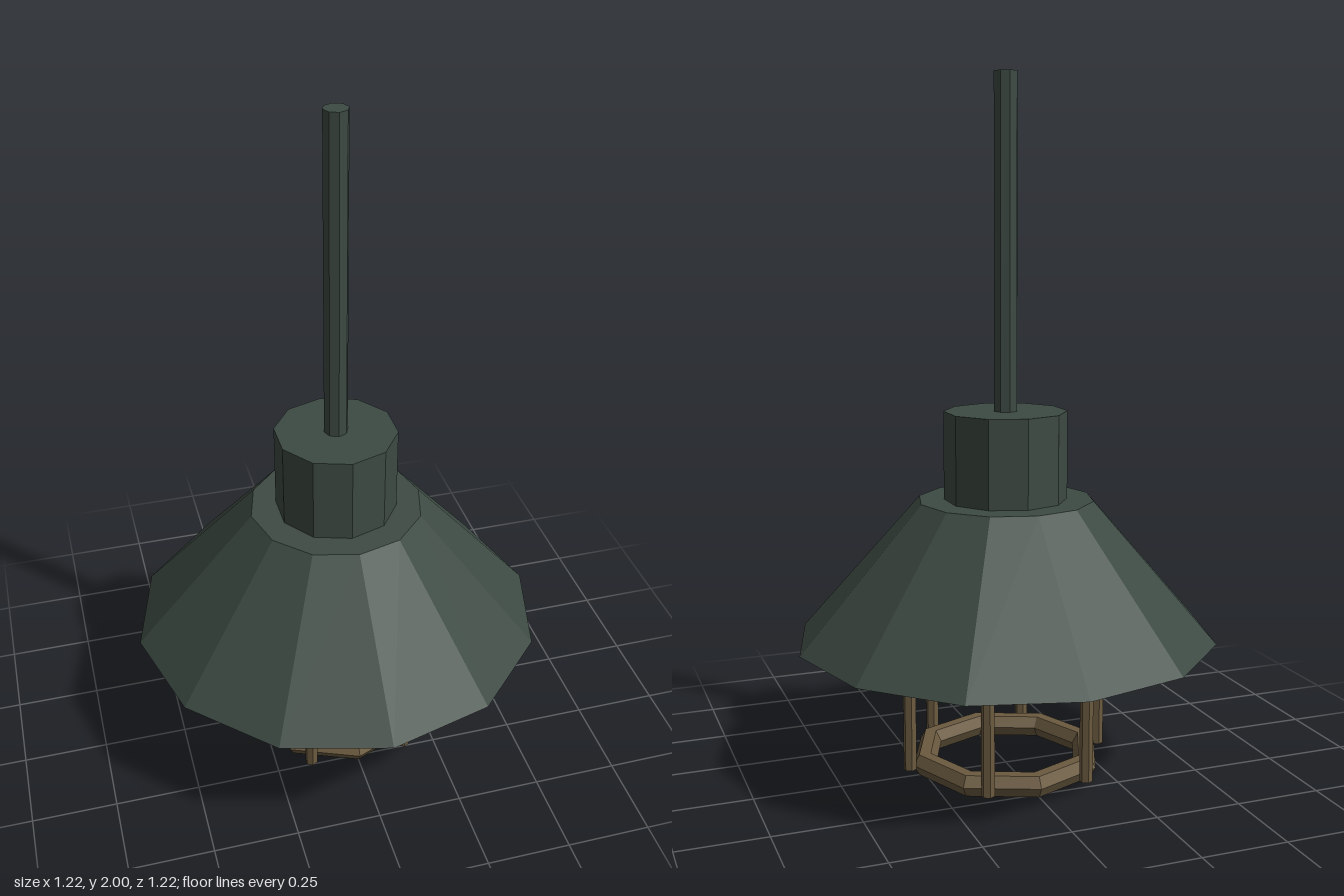
import * as THREE from 'three';

export function createModel() {
  const model = new THREE.Group();
  const paintedMetal = new THREE.MeshStandardMaterial({ color: 0x3d4a43, flatShading: true });
  paintedMetal.name = 'darkGreenMetal';
  const brass = new THREE.MeshStandardMaterial({ color: 0x6b5a3f, flatShading: true });
  brass.name = 'agedBrass';

  // Upright tapered cylinder spanning two heights
  function column(name, material, topRadius, bottomRadius, y0, y1, sides, x = 0, z = 0) {
    const geometry = new THREE.CylinderGeometry(topRadius, bottomRadius, y1 - y0, sides);
    const mesh = new THREE.Mesh(geometry, material);
    mesh.name = name;
    mesh.position.set(x, (y0 + y1) / 2, z);
    model.add(mesh);
  }

  // Hanging rod, socket collar and conical shade
  column('hangingRod', paintedMetal, 0.035, 0.035, 1.05, 2, 8);
  column('socketCollar', paintedMetal, 0.178, 0.178, 0.8, 1.055, 10);
  column('shade', paintedMetal, 0.255, 0.611, 0.395, 0.8, 12);

  // Six guard bars below the shade
  for (let i = 0; i < 6; i++) {
    const angle = (i * Math.PI) / 3;
    column('guardBar' + (i + 1), brass, 0.019, 0.019, 0.022, 0.4, 6,
      0.295 * Math.cos(angle), 0.295 * Math.sin(angle));
  }

  // Faceted ring joining the bars
  const ring = new THREE.Mesh(new THREE.TorusGeometry(0.25, 0.035, 6, 8), brass);
  ring.name = 'guardRing';
  ring.rotation.x = Math.PI / 2;
  ring.position.y = 0.0303;
  model.add(ring);

  return model;
}
